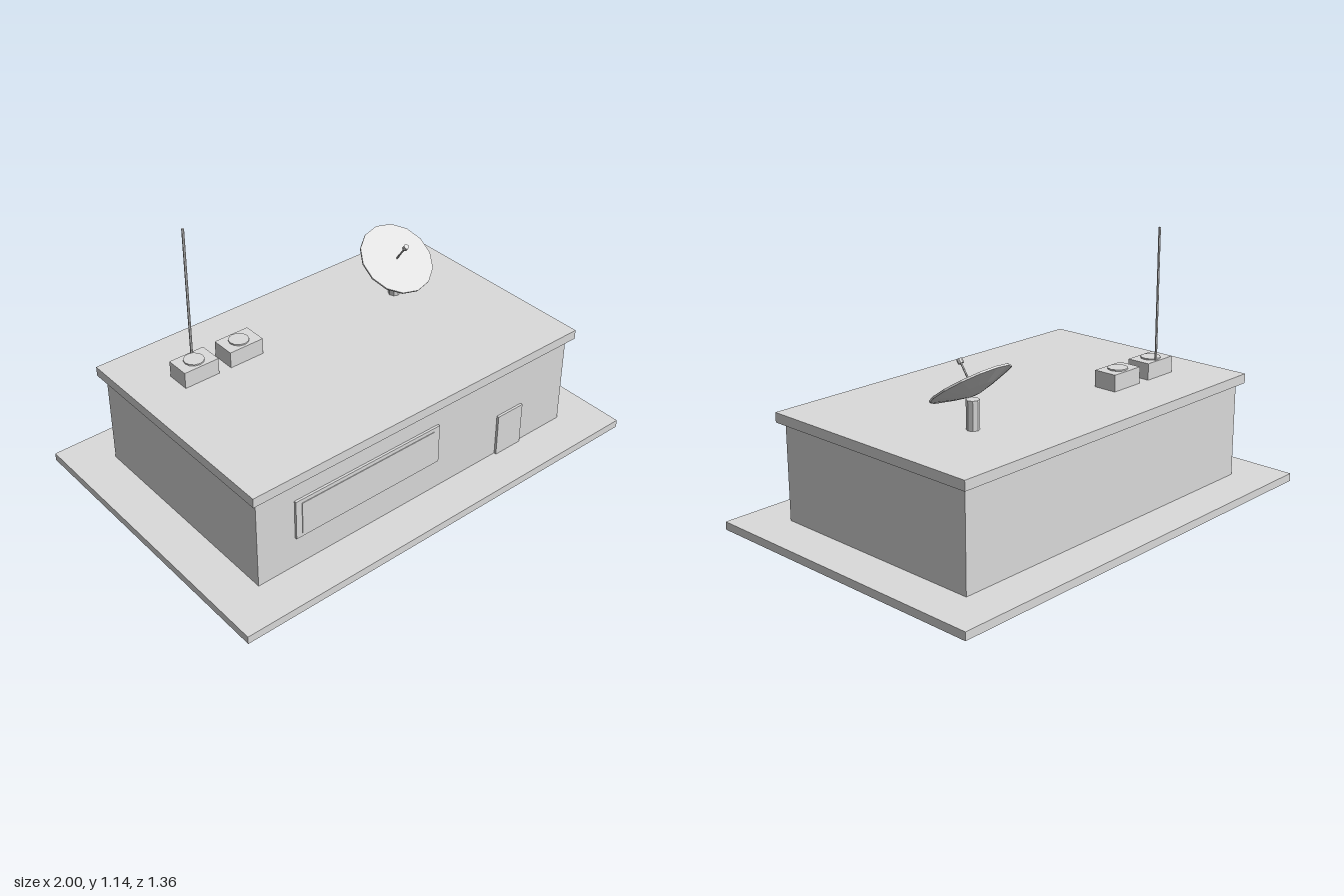
import * as THREE from 'three';

export function createModel() {
  const model = new THREE.Group();
  model.name = 'rooftopBuilding';
  const grey = new THREE.MeshStandardMaterial({ color: 0xdbdbdb, flatShading: true, side: THREE.DoubleSide });
  grey.name = 'light grey';

  const add = (parent, name, geometry, x, y, z) => {
    const mesh = new THREE.Mesh(geometry, grey);
    mesh.name = name;
    mesh.position.set(x, y, z);
    parent.add(mesh);
    return mesh;
  };
  // Box given by its limits on each axis
  const box = (parent, name, [x0, x1], [y0, y1], [z0, z1]) =>
    add(parent, name, new THREE.BoxGeometry(x1 - x0, y1 - y0, z1 - z0),
      (x0 + x1) / 2, (y0 + y1) / 2, (z0 + z1) / 2);
  // Upright cylinder standing between two heights
  const post = (parent, name, r, sides, x, [y0, y1], z) =>
    add(parent, name, new THREE.CylinderGeometry(r, r, y1 - y0, sides), x, (y0 + y1) / 2, z);

  // Base slab, an open shell without its underside (the fourth side of the box)
  const base = box(model, 'baseSlab', [-1, 1], [0, 0.035], [-0.682, 0.682]);
  const corners = Array.from(base.geometry.index.array);
  corners.splice(18, 6);
  base.geometry.setIndex(corners);

  // Walls and overhanging roof
  box(model, 'walls', [-0.815, 0.815], [0.0355, 0.453], [-0.5, 0.5]);
  box(model, 'roofSlab', [-0.842, 0.842], [0.453, 0.495], [-0.527, 0.527]);

  // Front window and door; the door sinks a little into the base
  box(model, 'windowFrame', [-0.638, 0.088], [0.175, 0.355], [0.495, 0.5105]);
  box(model, 'windowPane', [-0.61, 0.058], [0.192, 0.338], [0.495, 0.5135]);
  box(model, 'door', [0.428, 0.568], [0.025, 0.23], [0.493, 0.511]);

  // Rooftop cooling units with round fan covers
  for (const x of [-0.566, -0.346]) {
    const unit = new THREE.Group();
    unit.name = 'coolingUnit';
    box(unit, 'unitBody', [x - 0.081, x + 0.081], [0.495, 0.567], [-0.282, -0.175]);
    post(unit, 'fanCover', 0.043, 12, x, [0.567, 0.573], -0.229);
    model.add(unit);
  }

  // Antenna mast
  post(model, 'antennaMast', 0.0055, 6, -0.547, [0.495, 1.138], -0.272);

  // Satellite dish on a faceted post
  post(model, 'dishPost', 0.0265, 8, 0.454, [0.495, 0.615], -0.18);
  const dish = new THREE.Group();
  dish.name = 'satelliteDish';
  dish.position.set(0.454, 0.675, -0.168);
  dish.rotation.x = 0.605;
  const profile = [[0, -0.049], [0.024, -0.047], [0.085, -0.032], [0.169, -0.006], [0.169, 0.002], [0, 0.001]]
    .map(([r, y]) => new THREE.Vector2(r, y));
  add(dish, 'dishBowl', new THREE.LatheGeometry(profile, 14), 0, 0, 0);
  post(dish, 'feedArm', 0.004, 6, 0, [-0.01, 0.09], 0);
  post(dish, 'feedHead', 0.012, 8, 0, [0.083, 0.103], 0);
  model.add(dish);

  return model;
}
